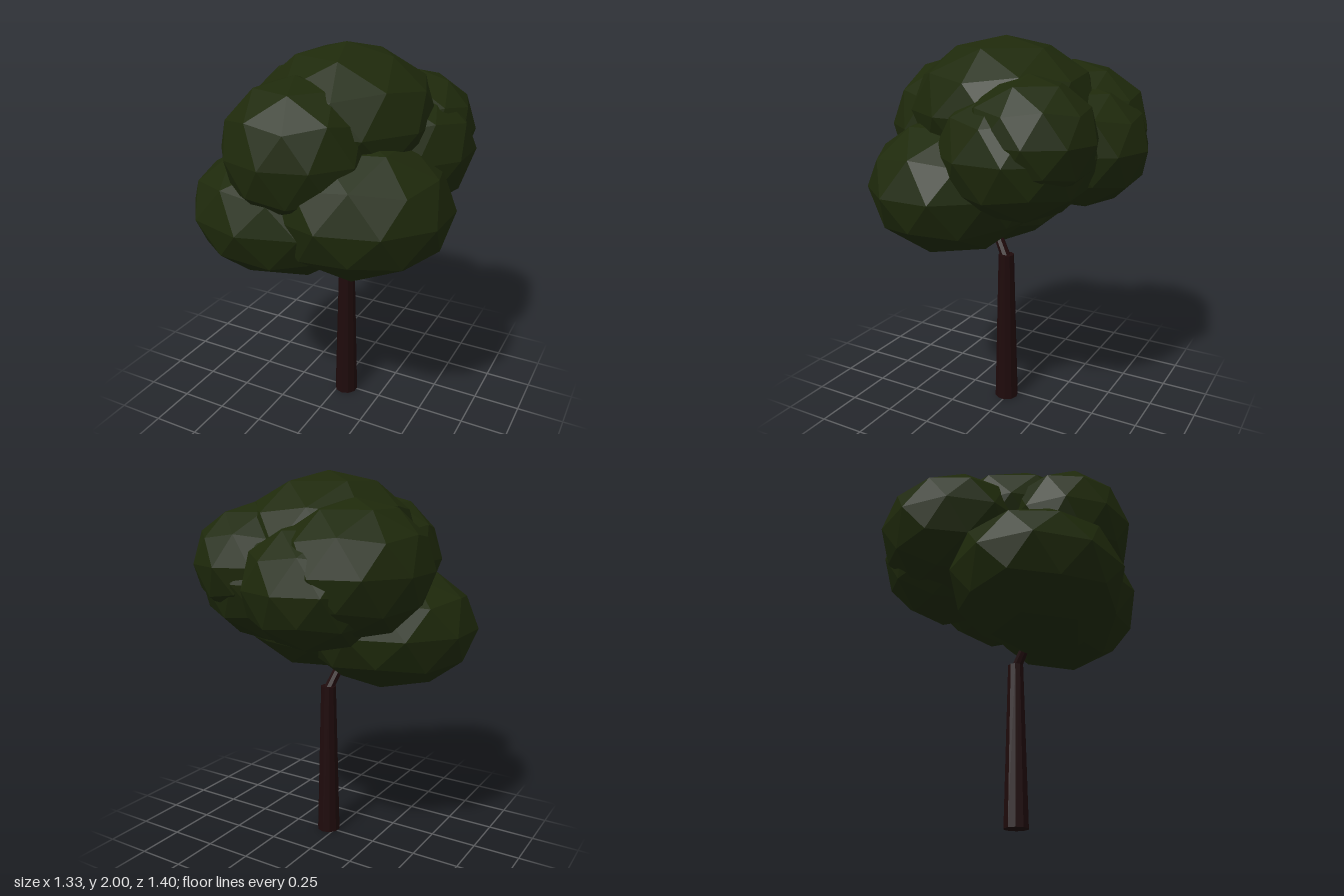
import * as THREE from 'three';

export function createModel() {
  const tree = new THREE.Group();
  tree.name = 'tree';
  const leaf = new THREE.MeshStandardMaterial({ color: 0x1e290b, flatShading: true });
  leaf.name = 'dark leaf green';
  const bark = new THREE.MeshStandardMaterial({ color: 0x1e0a0b, flatShading: true });
  bark.name = 'dark bark brown';

  // Tapered limb between two points
  function limb(name, from, to, r0, r1, sides) {
    const a = new THREE.Vector3(...from), b = new THREE.Vector3(...to);
    const dir = b.clone().sub(a);
    const mesh = new THREE.Mesh(new THREE.CylinderGeometry(r1, r0, dir.length(), sides), bark);
    mesh.position.copy(a).add(b).multiplyScalar(0.5);
    mesh.quaternion.setFromUnitVectors(new THREE.Vector3(0, 1, 0), dir.normalize());
    mesh.name = name;
    tree.add(mesh);
  }
  limb('trunk', [0.045, 0, 0.01], [0.045, 0.855, 0.01], 0.064, 0.042, 10);
  limb('frontBranch', [0.05, 0.82, 0.0], [-0.02, 1.1, 0.17], 0.028, 0.022, 8);

  // Foliage clumps: name, centre, radii, turn about the vertical
  const clumps = [
    ['crownTop', [0.04, 1.64, 0.01], [0.465, 0.36, 0.485], 0],
    ['frontUpperClump', [-0.05, 1.535, 0.35], [0.375, 0.355, 0.347], 0],
    ['frontRightLowClump', [-0.2, 1.19, 0.23], [0.49, 0.34, 0.455], 0],
    ['frontLeftLowClump', [0.2, 1.265, 0.215], [0.488, 0.36, 0.435], Math.PI],
    ['backRightClump', [-0.255, 1.54, -0.23], [0.385, 0.335, 0.41], 0],
    ['backLeftClump', [0.31, 1.55, -0.26], [0.3, 0.295, 0.34], 0],
    ['backClump', [-0.1, 1.46, -0.33], [0.37, 0.32, 0.37], 0],
    ['leftInnerClump', [0.23, 1.47, -0.165], [0.42, 0.35, 0.4], 0],
  ];
  // Tilt that stands a corner of the icosahedron upright
  const upright = -Math.atan(2 / (1 + Math.sqrt(5)));
  for (const [name, centre, radii, turn] of clumps) {
    const geo = new THREE.IcosahedronGeometry(1, 1);
    geo.rotateZ(upright).rotateY(turn).scale(...radii);
    const mesh = new THREE.Mesh(geo, leaf);
    mesh.position.set(...centre);
    mesh.name = name;
    tree.add(mesh);
  }
  return tree;
}
